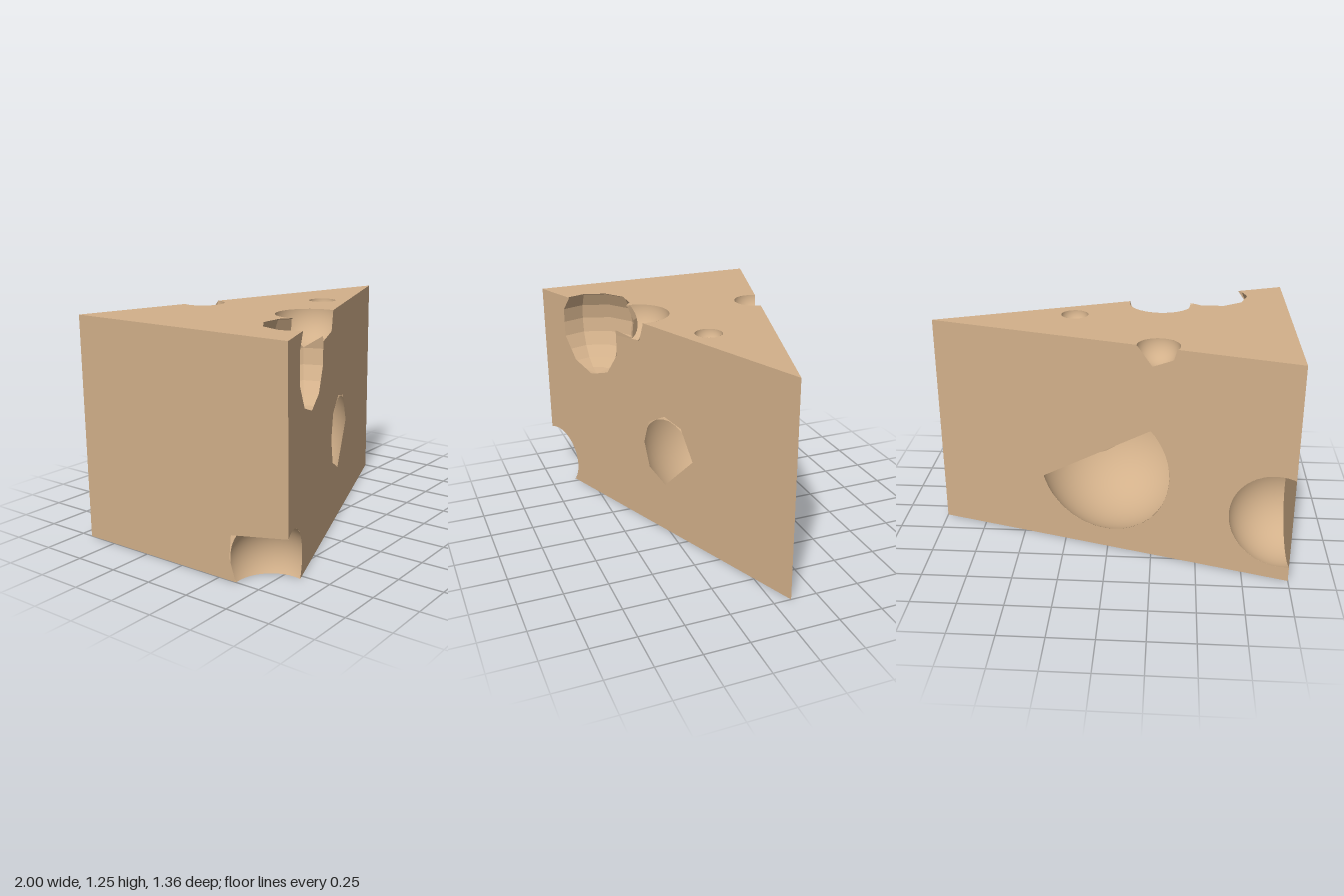
import * as THREE from 'three';

const HEIGHT = 1.25;
const STEP = 0.008;
const material = new THREE.MeshStandardMaterial({ color: 0xd2b08a, side: THREE.DoubleSide });

// Outward planes of the wedge
const plane = (x, y, z, c) => new THREE.Plane(new THREE.Vector3(x, y, z), c).normalize();
const planes = {
  front: plane(0.39, 0, 1, -0.29),
  back: plane(0.29, 0, -1, -0.39),
  left: plane(-1, 0, 0, -1),
  top: plane(0, 1, 0, -HEIGHT),
  bottom: plane(0, -1, 0, 0),
};

// Spherical holes: centre, radius, sides
const hole = (name, x, y, z, r, w = 48, h = 32, flat = false) =>
  ({ name, c: new THREE.Vector3(x, y, z), r, w, h, flat });
const facetedHole = hole('facetedHole', -0.57, 1.08, 0.47, 0.278, 10, 10, true);
const rimHole = hole('rimHole', -0.27, 1.25, 0.295, 0.185);
const smallHole = hole('smallTopHole', 0.215, 1.25, 0.05, 0.077);
const notchHole = hole('backRimHole', -0.27, 1.25, -0.44, 0.115);
const tunnel = hole('throughHole', -0.05, 0.5, -0.13, 0.465);
const cornerHole = hole('frontCornerHole', -0.97, 0.12, 0.55, 0.228);
const backHole = hole('backCornerHole', -0.96, 0.35, -0.555, 0.293);
const holes = [facetedHole, rimHole, smallHole, notchHole, tunnel, cornerHole, backHole];

// Flat outline helpers; points are [u, v]
function densify(points) {
  const out = [];
  points.forEach((a, i) => {
    const b = points[(i + 1) % points.length];
    const n = Math.max(1, Math.ceil(Math.hypot(b[0] - a[0], b[1] - a[1]) / STEP));
    for (let k = 0; k < n; k++) out.push([a[0] + (b[0] - a[0]) * k / n, a[1] + (b[1] - a[1]) * k / n]);
  });
  return out;
}

function contains(poly, [u, v]) {
  let inside = false;
  for (let i = 0, j = poly.length - 1; i < poly.length; j = i++) {
    const [a, b] = poly[i], [c, d] = poly[j];
    if ((b > v) !== (d > v) && u < (c - a) * (v - b) / (d - b) + a) inside = !inside;
  }
  return inside;
}

// The run of points passing the test, in order
function run(points, test) {
  const keep = points.map(test);
  const n = points.length;
  const start = Math.max(0, keep.findIndex((k, i) => k && !keep[(i + n - 1) % n]));
  return points.map((_, i) => (start + i) % n).filter((i) => keep[i]).map((i) => points[i]);
}

// Cut a convex region out of the outline's edge
function bite(outline, region) {
  const rest = run(outline, (p) => !contains(region, p));
  const arc = run(region, (p) => contains(outline, p));
  if (!arc.length) return rest;
  const end = rest[rest.length - 1];
  const far = (p) => Math.hypot(p[0] - end[0], p[1] - end[1]);
  if (far(arc[0]) > far(arc[arc.length - 1])) arc.reverse();
  return rest.concat(arc);
}

// Circle where a hole meets a face, in that face's two coordinates
function circle(h, face, axes) {
  const p = planes[face];
  const d = p.distanceToPoint(h.c);
  const r = Math.sqrt(h.r * h.r - d * d) - (h.flat ? 0.006 : 0);
  const centre = h.c.clone().addScaledVector(p.normal, -d);
  const e1 = Math.abs(p.normal.y) > 0.5 ? new THREE.Vector3(1, 0, 0) : new THREE.Vector3(0, 1, 0);
  const e2 = new THREE.Vector3().crossVectors(p.normal, e1);
  const n = h.flat ? 10 : 64;
  return Array.from({ length: n }, (_, i) => {
    const a = (i / n) * Math.PI * 2;
    const q = centre.clone().addScaledVector(e1, r * Math.cos(a)).addScaledVector(e2, r * Math.sin(a));
    return [q[axes[0]], q[axes[1]]];
  });
}

// One wedge face with its bites and holes
function makeFace(name, corners, cuts, place, flip) {
  let outline = densify(corners);
  const inner = [];
  for (const cut of cuts) {
    const region = densify(cut);
    if (outline.some((p) => contains(region, p))) outline = bite(outline, region);
    else inner.push(cut);
  }
  const vec = (list) => list.map((p) => new THREE.Vector2(p[0], p[1]));
  const shape = new THREE.Shape(vec(outline));
  inner.forEach((c) => shape.holes.push(new THREE.Path(vec(c))));
  const geometry = new THREE.ShapeGeometry(shape);
  const pos = geometry.attributes.position;
  for (let i = 0; i < pos.count; i++) pos.setXYZ(i, ...place(pos.getX(i), pos.getY(i)));
  if (flip) geometry.index.array.reverse();
  geometry.computeVertexNormals();
  const mesh = new THREE.Mesh(geometry, material);
  mesh.name = name;
  return mesh;
}

// Keep the part of a polygon behind a plane
function clip(poly, p) {
  const out = [];
  poly.forEach((a, i) => {
    const b = poly[(i + 1) % poly.length];
    const da = p.distanceToPoint(a), db = p.distanceToPoint(b);
    if (da <= 0) out.push(a);
    if ((da < 0 && db > 0) || (da > 0 && db < 0)) out.push(a.clone().lerp(b, da / (da - db)));
  });
  return out;
}

// Hollow of a hole: an inward sphere trimmed by the wedge and by overlapping holes
function makeHollow(h) {
  const cuts = Object.values(planes);
  for (const o of holes) {
    if (o === h || o.c.distanceTo(h.c) >= o.r + h.r) continue;
    const n = o.c.clone().sub(h.c);
    const c = (o.c.lengthSq() - h.c.lengthSq() - o.r * o.r + h.r * h.r) / 2;
    cuts.push(new THREE.Plane(n, -c).normalize());
  }
  const ball = new THREE.SphereGeometry(h.r, h.w, h.h).toNonIndexed().translate(h.c.x, h.c.y, h.c.z);
  const pos = ball.attributes.position;
  const points = [];
  for (let i = 0; i < pos.count; i += 3) {
    let poly = [2, 1, 0].map((k) => new THREE.Vector3().fromBufferAttribute(pos, i + k));
    for (const p of cuts) poly = clip(poly, p);
    for (let k = 1; k < poly.length - 1; k++) points.push(poly[0], poly[k], poly[k + 1]);
  }
  const geometry = new THREE.BufferGeometry().setFromPoints(points);
  if (h.flat) geometry.computeVertexNormals();
  else {
    const normals = points.flatMap((p) => h.c.clone().sub(p).normalize().toArray());
    geometry.setAttribute('normal', new THREE.Float32BufferAttribute(normals, 3));
  }
  const mesh = new THREE.Mesh(geometry, material);
  mesh.name = h.name;
  return mesh;
}

export function createModel() {
  const group = new THREE.Group();
  group.name = 'cheeseWedge';
  const side = [[-1, 0], [1, 0], [1, HEIGHT], [-1, HEIGHT]];
  const triangle = [[-1, -0.68], [1, -0.1], [-1, 0.68]];

  // Front side, with a rough-edged opening into the through hole
  const frontOpening = [[-0.06, 0.66], [0.07, 0.735], [0.2, 0.705], [0.29, 0.53], [0.07, 0.3], [-0.06, 0.37], [-0.1, 0.52]];
  const rimBite = [[-0.45, 1.3], [-0.36, 1.116], [-0.12, 1.14], [-0.085, 1.25], [-0.085, 1.3]];
  group.add(makeFace('frontSide', side,
    [circle(facetedHole, 'front', 'xy'), rimBite, circle(cornerHole, 'front', 'xy'), frontOpening],
    (x, y) => [x, y, 0.29 - 0.39 * x], false));

  // Back side, the through hole cut off by a straight edge
  const backOpening = circle(tunnel, 'back', 'xy').filter(([x, y]) => y < 0.39 + (0.38 - x) * 0.645);
  const notch = [[-0.38, 1.3], [-0.35, 1.19], [-0.24, 1.14], [-0.155, 1.25], [-0.115, 1.3]];
  group.add(makeFace('backSide', side, [notch, circle(backHole, 'back', 'xy'), backOpening],
    (x, y) => [x, y, -0.39 + 0.29 * x], true));

  // Rind end
  const cornerBite = [[0.75, 0.317], [0.33, 0.245], [0.318, 0.12], [0.355, 0], [0.38, -0.06], [0.75, -0.06]];
  group.add(makeFace('rindEnd', [[-0.68, 0], [0.68, 0], [0.68, HEIGHT], [-0.68, HEIGHT]], [cornerBite],
    (z, y) => [-1, y, z], false));

  // Top and bottom
  group.add(makeFace('topFace', triangle,
    [facetedHole, rimHole, notchHole, smallHole].map((h) => circle(h, 'top', 'xz')),
    (x, z) => [x, HEIGHT, z], true));
  group.add(makeFace('bottomFace', triangle, [circle(cornerHole, 'bottom', 'xz')],
    (x, z) => [x, 0, z], false));

  // Hollows
  holes.forEach((h) => group.add(makeHollow(h)));
  return group;
}
